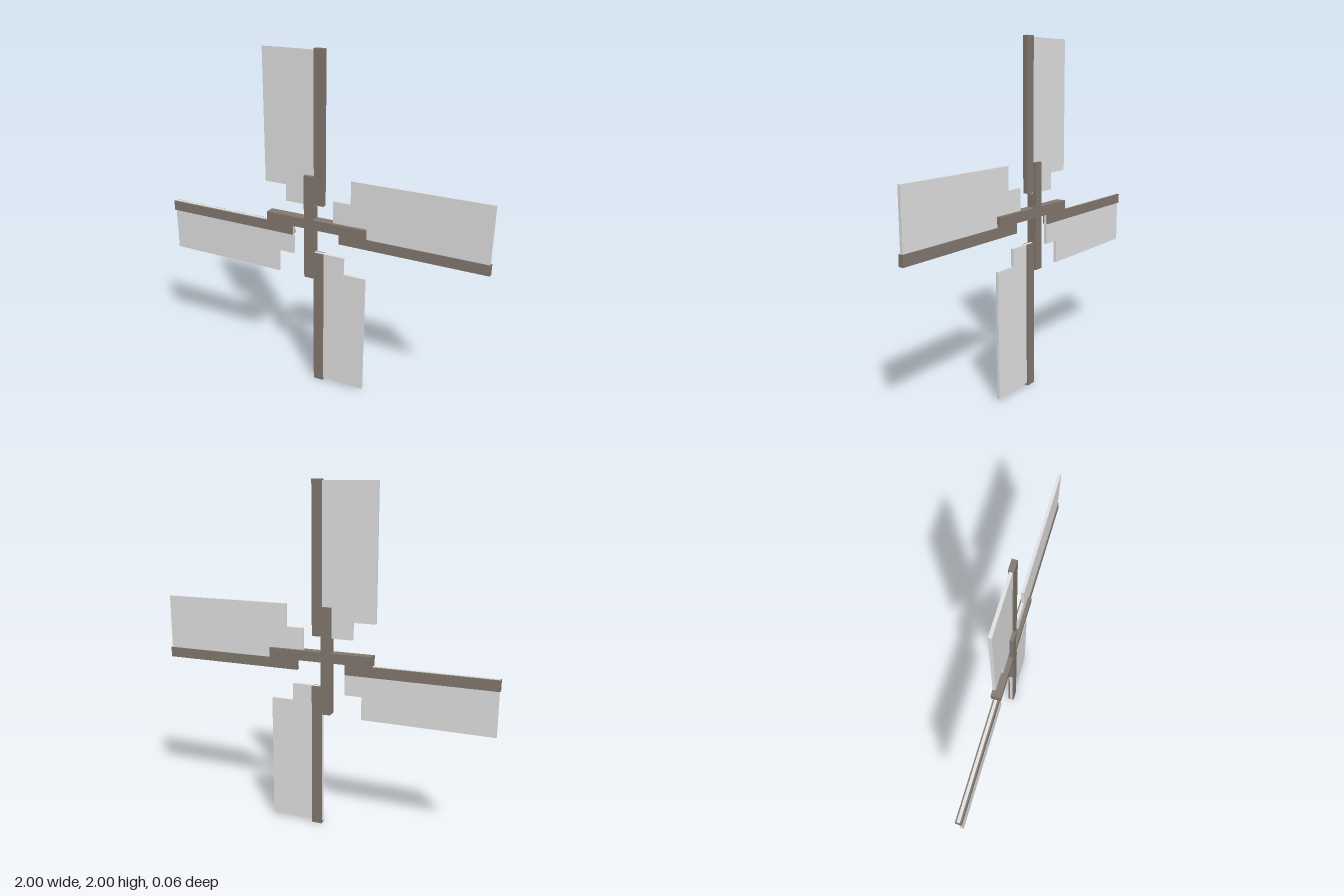
import * as THREE from 'three';

export function createModel() {
  const group = new THREE.Group();
  group.name = 'windmillSails';
  const wood = new THREE.MeshStandardMaterial({ color: 0x847a70 });
  wood.name = 'weathered wood';
  const cloth = new THREE.MeshStandardMaterial({ color: 0xe4e4e4 });
  cloth.name = 'pale cloth';

  // Wooden bar given by its front rectangle and half depth
  function bar(name, x0, x1, y0, y1, halfDepth) {
    const mesh = new THREE.Mesh(new THREE.BoxGeometry(x1 - x0, y1 - y0, halfDepth * 2), wood);
    mesh.position.set((x0 + x1) / 2, (y0 + y1) / 2, 0);
    mesh.name = name;
    group.add(mesh);
  }

  // Flat stepped sail, cut from an outline and centred in depth
  function sail(name, points, depth = 0.017) {
    const shape = new THREE.Shape(points.map(([x, y]) => new THREE.Vector2(x, y)));
    const geometry = new THREE.ExtrudeGeometry(shape, { depth, bevelEnabled: false });
    geometry.translate(0, 0, -depth / 2);
    const mesh = new THREE.Mesh(geometry, cloth);
    mesh.name = name;
    group.add(mesh);
  }

  // Hub cross: upright plus two side arms that butt against it
  bar('hubUpright', -0.064, -0.008, 0.693, 1.314, 0.029);
  bar('hubArmRight', -0.308, -0.064, 1, 1.058, 0.029);
  bar('hubArmLeft', -0.008, 0.314, 1, 1.058, 0.029);

  // Spars
  bar('sparTop', -0.008, 0.052, 1.145, 2, 0.014);
  bar('sparBottom', -0.008, 0.052, 0, 0.853, 0.018);
  bar('sparRight', -1, -0.147, 0.938, 0.998, 0.017);
  bar('sparLeft', 0.147, 1, 0.938, 0.998, 0.014);

  // Sails, each with a notched inner corner, running into their spars
  sail('sailTop', [[-0.323, 1.992], [-0.323, 1.237], [-0.19, 1.237], [-0.19, 1.138], [0, 1.138], [0, 1.992]]);
  sail('sailLeft', [[0.109, 0.998], [0.994, 0.998], [0.994, 1.318], [0.215, 1.318], [0.215, 1.185], [0.109, 1.185]]);
  sail('sailBottom', [[-0.01, 0.014], [0.31, 0.014], [0.31, 0.752], [0.175, 0.752], [0.175, 0.854], [-0.01, 0.854]]);
  sail('sailRight', [[-0.995, 1.001], [-0.995, 0.684], [-0.246, 0.684], [-0.246, 0.818], [-0.146, 0.818], [-0.146, 1.001]]);

  return group;
}
